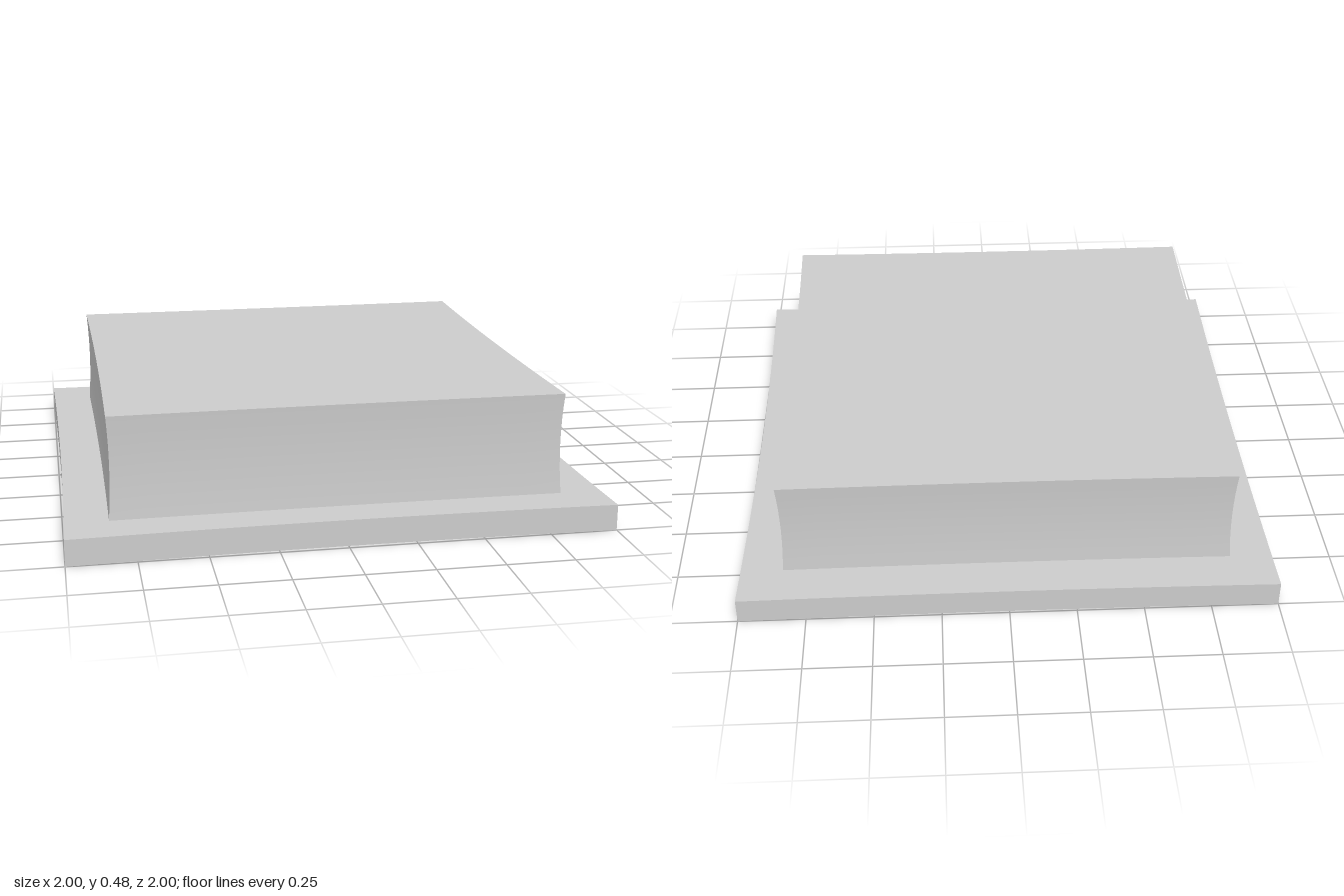
import * as THREE from 'three';

const material = new THREE.MeshStandardMaterial({ color: 0xcccccc });

// Square slab whose sides bow slightly inward; bow gives the depth for each
// side at mid-length, waist the extra depth at mid-height.
function bowedSlab(name, half, bottom, top, bow, waist) {
  const height = top - bottom;
  const geometry = new THREE.BoxGeometry(2 * half, height, 2 * half, 12, waist ? 8 : 1, 12);
  const pos = geometry.attributes.position;
  for (let i = 0; i < pos.count; i++) {
    const u = pos.getX(i) / half;
    const v = pos.getY(i) / (height / 2);
    const w = pos.getZ(i) / half;
    const pinch = waist * (1 - v * v);
    const dx = (u > 0 ? bow.right : bow.left) * (1 - w * w) + pinch;
    const dz = (w > 0 ? bow.front : bow.back) * (1 - u * u) + pinch;
    pos.setX(i, u * (half - dx));
    pos.setZ(i, w * (half - dz));
  }
  geometry.computeVertexNormals();
  const mesh = new THREE.Mesh(geometry, material);
  mesh.name = name;
  mesh.position.y = (bottom + top) / 2;
  return mesh;
}

export function createModel() {
  const group = new THREE.Group();
  group.name = 'steppedPlinth';

  // Wide, thin base plate ("right" is the +x side)
  group.add(bowedSlab('basePlate', 1, 0, 0.098,
    { left: 0.01, right: 0.018, front: 0.019, back: 0.008 }, 0));

  // Thick block standing on the plate, slightly waisted
  group.add(bowedSlab('upperBlock', 0.838, 0.098, 0.482,
    { left: 0.006, right: 0.012, front: 0.007, back: 0.006 }, 0.008));

  return group;
}
